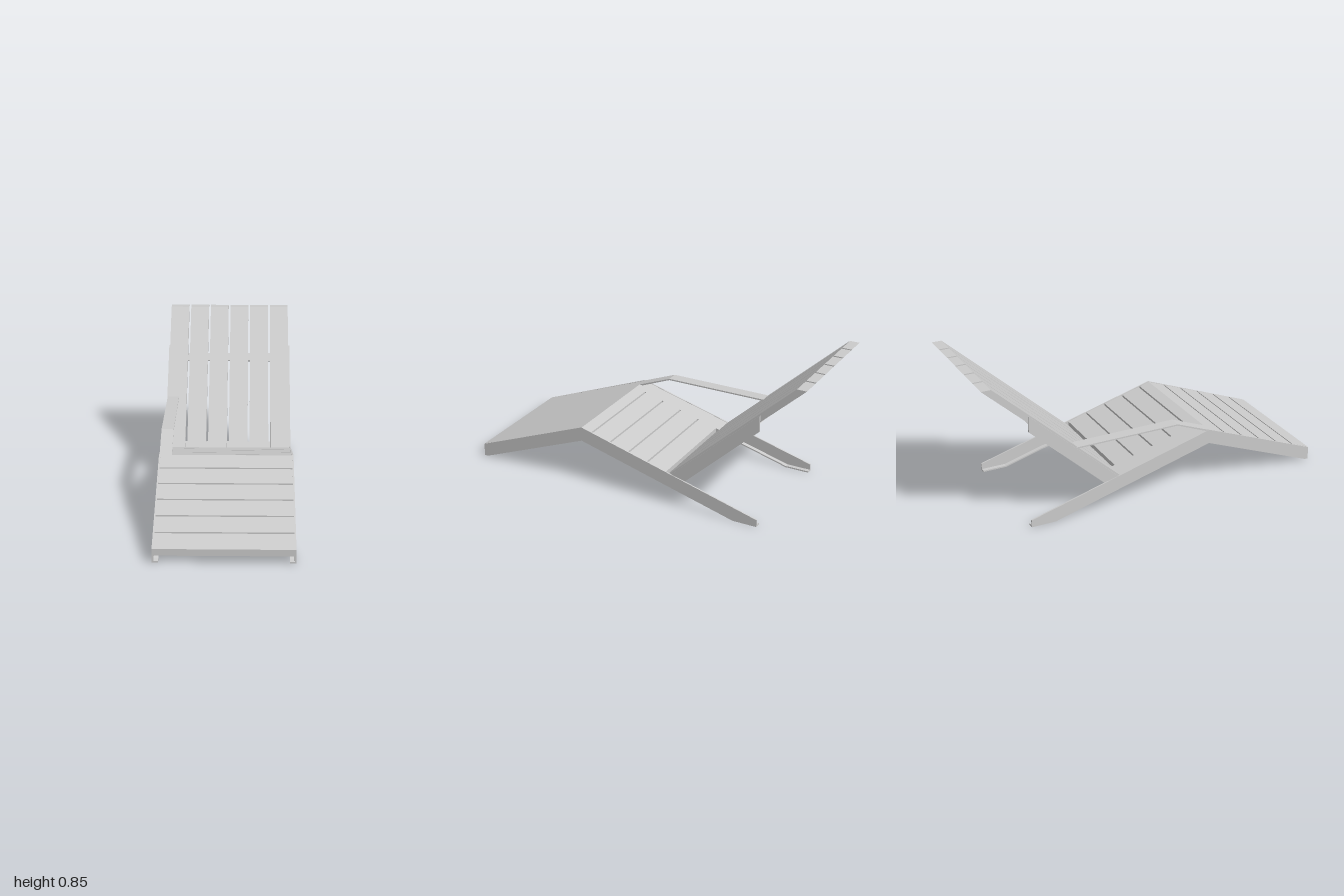
import * as THREE from 'three';

const material = new THREE.MeshStandardMaterial({ color: 0xcccccc, side: THREE.DoubleSide, flatShading: true });

// Side profile given as [z, y] points, extruded from x0 to x1
function profile(name, points, x0, x1) {
  const shape = new THREE.Shape(points.map(([z, y]) => new THREE.Vector2(z, y)));
  const geometry = new THREE.ExtrudeGeometry(shape, { depth: x1 - x0, bevelEnabled: false });
  geometry.rotateY(-Math.PI / 2).translate(x1, 0, 0);
  const mesh = new THREE.Mesh(geometry, material);
  mesh.name = name;
  return mesh;
}

// Heights of the sloping top surfaces
const legTop = z => 0.335 - (z - 0.33) * 0.39;
const seatTop = z => 0.335 + (z - 0.33) * 0.273;
const backRear = z => 0.845 - (z + 1) * 0.913;

// Board lying under a sloping top line between two z positions
const board = (name, top, zBack, zFront, thick, x0, x1) => profile(name, [
  [zBack, top(zBack) - thick], [zFront, top(zFront) - thick],
  [zFront, top(zFront)], [zBack, top(zBack)],
], x0, x1);

export function createModel() {
  const chair = new THREE.Group();
  chair.name = 'loungeChair';
  const inner = 0.357, outer = 0.365;

  // Side frames: bent base rail, back rail and feet flanges
  for (const side of [-1, 1]) {
    const frame = new THREE.Group();
    frame.name = side > 0 ? 'leftFrame' : 'rightFrame';
    const span = (a, b) => side > 0 ? [a, b] : [-b, -a];
    frame.add(profile('baseRail', [
      [1, 0], [1, 0.073], [0.33, 0.337], [-0.75, 0.042], [-0.75, 0],
      [-0.61, 0], [0.33, 0.255], [0.98, 0],
    ], ...span(inner, outer)));
    frame.add(profile('backRail', [
      [-0.235, 0.185], [-0.75, 0.655], [-0.75, 0.565], [-0.32, 0.165],
    ], ...span(inner, outer)));
    frame.add(profile('rearLegFlange', [
      [-0.75, 0], [-0.61, 0], [-0.25, 0.098], [-0.25, 0.106], [-0.61, 0.008], [-0.75, 0.008],
    ], ...span(0.333, inner)));
    frame.add(profile('frontFoot', [
      [1, 0], [1, 0.008], [0.975, 0.012], [0.955, 0.018], [0.955, 0.01], [0.98, 0],
    ], ...span(0.333, inner)));
    chair.add(frame);
  }

  // Leg rest slats
  const pitch = 0.115, gap = 0.009;
  for (let i = 0; i < 6; i++) {
    const front = 1 - i * pitch;
    const back = i === 5 ? 0.33 : front - pitch + gap;
    chair.add(board('legSlat', legTop, back, front, 0.036, -inner, inner));
  }

  // Seat slats and the solid plank beneath the armrest
  const seatEdges = [0.33, 0.265, 0.149, 0.032, -0.085, -0.2];
  for (let i = 0; i < 5; i++) {
    const front = seatEdges[i] - (i ? gap / 2 : 0);
    const back = seatEdges[i + 1] + (i < 4 ? gap / 2 : 0);
    chair.add(board('seatSlat', seatTop, back, front, 0.034, -0.25, inner));
  }
  chair.add(board('seatSidePlank', seatTop, -0.235, 0.33, 0.034, -inner, -0.25));

  // Backrest slats, cut level at the top
  for (let i = 0; i < 6; i++) {
    const x = -0.359 + i * 0.1213;
    chair.add(profile('backSlat', [
      [-1, 0.845], [-0.945, 0.845], [-0.2, 0.165], [-0.228, 0.14],
    ], x, x + 0.1095));
  }

  // Thin battens on the rear of the backrest
  for (const [z0, z1] of [[-0.74, -0.7], [-0.29, -0.24]]) {
    chair.add(profile('backBatten', [
      [z0, backRear(z0)], [z1, backRear(z1)],
      [z1 - 0.005, backRear(z1) - 0.005], [z0 - 0.005, backRear(z0) - 0.005],
    ], -inner, inner));
  }

  // Single bent armrest
  chair.add(profile('armrest', [
    [0.33, 0.335], [0.13, 0.414], [-0.49, 0.414], [-0.482, 0.406], [0.13, 0.406], [0.31, 0.333],
  ], -0.362, -0.295));

  return chair;
}
